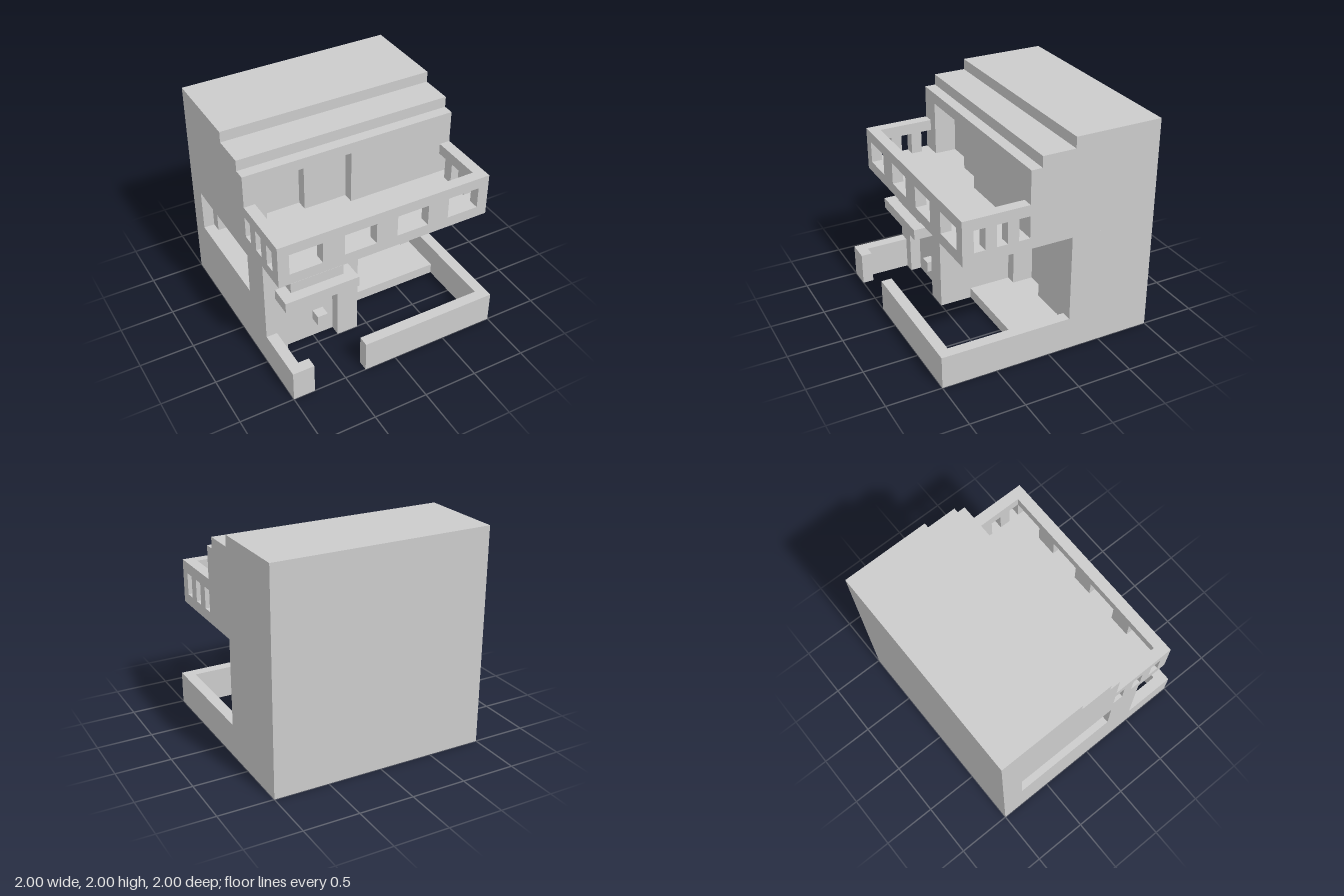
import * as THREE from 'three';

export function createModel() {
  const house = new THREE.Group();
  house.name = 'house';
  const mat = new THREE.MeshStandardMaterial({ color: 0xcccccc, flatShading: true });

  const add = (name, geo) => {
    const mesh = new THREE.Mesh(geo, mat);
    mesh.name = name;
    house.add(mesh);
    return mesh;
  };

  // Box given by its limits on each axis
  const box = (name, [x0, x1], [y0, y1], [z0, z1]) =>
    add(name, new THREE.BoxGeometry(x1 - x0, y1 - y0, z1 - z0)
      .translate((x0 + x1) / 2, (y0 + y1) / 2, (z0 + z1) / 2));

  const rect = (path, [a, b], [c, d]) =>
    path.moveTo(a, c).lineTo(b, c).lineTo(b, d).lineTo(a, d).closePath();

  // Slab with rectangular openings, thickness running along z
  const slab = (across, up, openings, depth) => {
    const shape = new THREE.Shape();
    rect(shape, across, up);
    for (const [a, u] of openings) {
      const hole = new THREE.Path();
      rect(hole, a, u);
      shape.holes.push(hole);
    }
    return new THREE.ExtrudeGeometry(shape, { depth, bevelEnabled: false });
  };
  const frontWall = (name, xs, ys, [z0, z1], openings) =>
    add(name, slab(xs, ys, openings, z1 - z0).translate(0, 0, z0));
  const sideWall = (name, [x0, x1], ys, zs, openings) =>
    add(name, slab(zs, ys, openings, x1 - x0).rotateY(-Math.PI / 2).translate(x1, 0, 0));

  // Ground floor: solid core and entrance hall
  const ground = [0, 1.1];
  box('groundFloorCore', [-0.7, 1], ground, [-1, -0.4]);
  box('entranceHall', [-0.7, -0.1], ground, [-0.4, 0.4]);

  // Side wall in layers, stepping into a framed sliding window
  sideWall('sideWallOuter', [-1, -0.9], ground, [-1, 0.5], [[[-0.8, 0.2], [0.6, 1]]]);
  sideWall('sideWindowFrame', [-0.9, -0.8], ground, [-1, 0.5], [[[-0.7, 0.1], [0.6, 1]]]);
  sideWall('sideWindowPanel', [-0.8, -0.7], ground, [-1, 0.4], [[[-0.7, -0.4], [0.6, 1]]]);

  // Entrance: recessed door, knob and stepped canopy
  box('doorLintel', [-0.8, -0.1], [0.7, 1.1], [0.4, 0.5]);
  box('doorJamb', [-0.3, -0.1], [0, 0.7], [0.4, 0.5]);
  box('doorKnob', [-0.5, -0.4], [0.2, 0.3], [0.4, 0.5]);
  box('canopyLower', [-0.9, -0.2], [0.7, 0.8], [0.5, 0.7]);
  box('canopyUpper', [-0.8, -0.3], [0.8, 0.9], [0.5, 0.6]);

  // Porch with a sliding door in two depths
  frontWall('porchDoorPanel', [-0.1, 1], ground, [-0.4, -0.3], [[[0, 0.3], [0.1, 0.7]]]);
  frontWall('porchWall', [-0.1, 1], ground, [-0.3, -0.2], [[[0, 0.8], [0.1, 0.7]]]);
  box('porchFloor', [-0.1, 1], [0, 0.1], [-0.2, 0.2]);

  // Low garden wall with an entrance gap
  const low = [0, 0.3];
  box('gardenWallLeft', [0.9, 1], low, [-0.2, 0.9]);
  box('gardenWallFront', [-0.3, 1], low, [0.9, 1]);
  box('gardenWallRight', [-1, -0.9], low, [0.5, 0.9]);
  box('gardenWallCorner', [-1, -0.8], low, [0.9, 1]);

  // Upper floor with a sliding door onto the balcony
  const upper = [1.1, 1.8], full = [-1, 1];
  box('upperFloor', full, upper, [-1, 0]);
  frontWall('balconyDoorPanel', full, upper, [0, 0.1], [[[-0.8, -0.4], [1.2, 1.7]]]);
  frontWall('upperWall', full, upper, [0.1, 0.2], [[[-0.8, 0], [1.2, 1.7]]]);

  // Stepped roof
  box('roofLower', full, [1.8, 1.9], [-1, 0.1]);
  box('roofUpper', full, [1.9, 2], [-1, -0.2]);

  // Balcony: floor, pierced front and side railings
  box('balconyFloor', [-0.9, 0.9], [1.1, 1.2], [0.2, 0.7]);
  frontWall('balconyFront', full, [1.1, 1.5], [0.7, 0.8],
    [-0.9, -0.4, 0.1, 0.6].map(x => [[x, x + 0.3], [1.2, 1.4]]));
  for (const xs of [[-1, -0.9], [0.9, 1]]) {
    box('balconySideBase', xs, [1.1, 1.2], [0.2, 0.7]);
    box('balconySideRail', xs, [1.4, 1.5], [0.2, 0.7]);
    for (const z of [0.3, 0.5]) box('balconySidePost', xs, [1.2, 1.4], [z, z + 0.1]);
  }

  return house;
}
